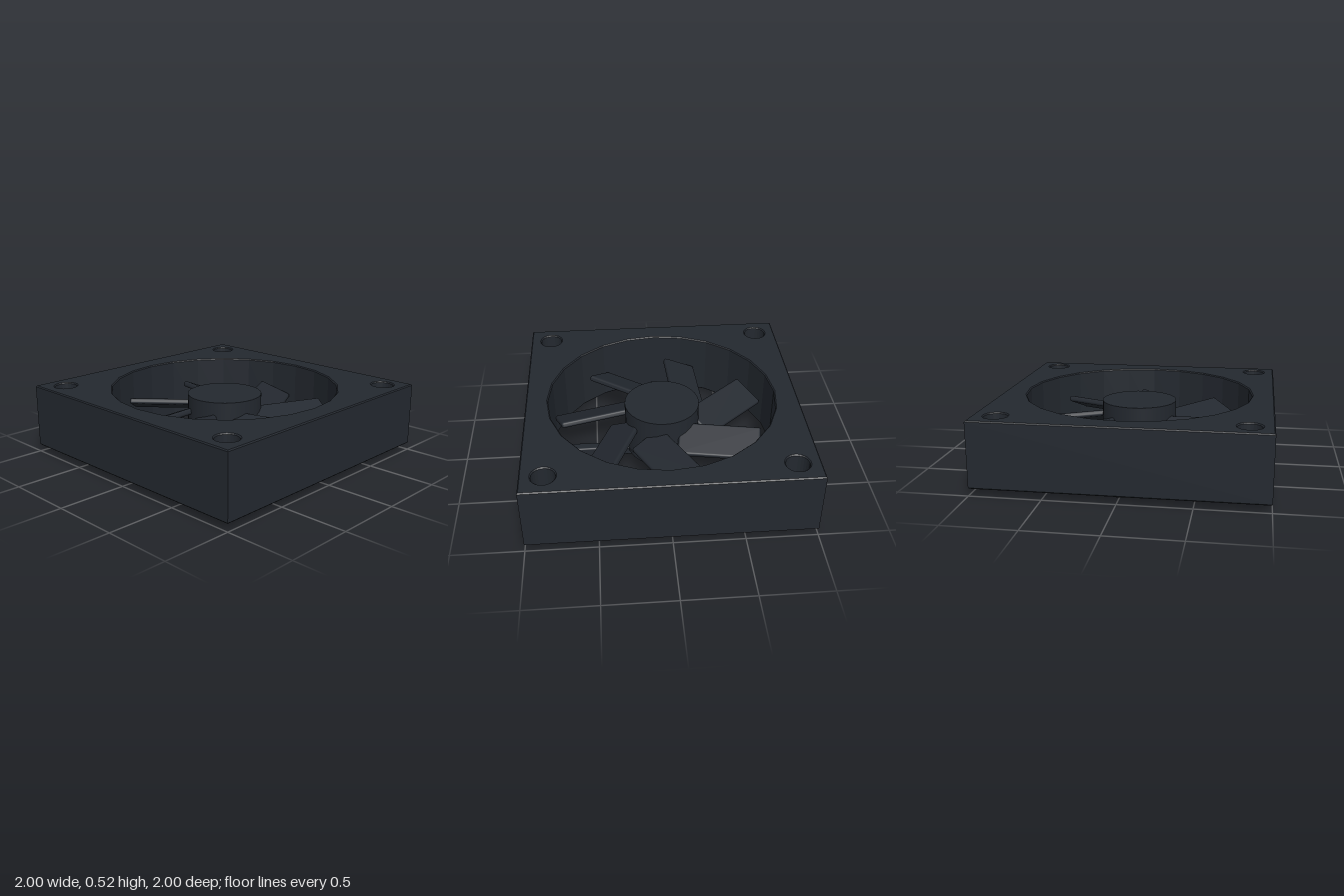
import * as THREE from 'three';
import { RoundedBoxGeometry } from 'three/addons/geometries/RoundedBoxGeometry.js';

export function createModel() {
  const root = new THREE.Group();
  root.name = 'coolingFan';
  const plastic = new THREE.MeshStandardMaterial({ color: 0x23282f });

  function add(name, geometry, parent = root) {
    const mesh = new THREE.Mesh(geometry, plastic);
    mesh.name = name;
    parent.add(mesh);
    return mesh;
  }
  const circle = (x, y, r) => new THREE.Path().absarc(x, y, r, 0, Math.PI * 2, true);

  // Square housing with the airflow opening and four screw holes
  const outline = new THREE.Shape([
    new THREE.Vector2(-1, -1), new THREE.Vector2(1, -1),
    new THREE.Vector2(1, 1), new THREE.Vector2(-1, 1),
  ]);
  outline.holes.push(circle(0, 0, 0.84));
  for (const sx of [-1, 1]) for (const sz of [-1, 1]) outline.holes.push(circle(sx * 0.84, sz * 0.84, 0.082));
  const bevel = 0.008;
  const housing = new THREE.ExtrudeGeometry(outline, {
    depth: 0.47 - 2 * bevel, curveSegments: 12,
    bevelThickness: bevel, bevelSize: bevel, bevelOffset: -bevel, bevelSegments: 1,
  });
  housing.rotateX(-Math.PI / 2);
  housing.translate(0, 0.05 + bevel, 0);
  add('housing', housing);

  // Crossed support struts underneath
  for (let i = 0; i < 2; i++) {
    const strut = add('supportStrut', new RoundedBoxGeometry(1.76, 0.075, 0.075, 2, 0.012));
    strut.position.y = 0.0375;
    strut.rotation.y = i * Math.PI / 2;
  }

  // Motor base and rotor hub
  add('motorBase', new THREE.CylinderGeometry(0.26, 0.26, 0.08, 32)).position.y = 0.1;
  const rotor = new THREE.Group();
  rotor.name = 'rotor';
  root.add(rotor);
  add('hub', new THREE.CylinderGeometry(0.277, 0.277, 0.34, 32), rotor).position.y = 0.29;

  // Seven pitched blades, each set off to one side of its radius
  const count = 7;
  for (let i = 0; i < count; i++) {
    const arm = new THREE.Group();
    arm.name = 'bladeArm';
    arm.rotation.y = -(74.6 * Math.PI / 180 + i * Math.PI * 2 / count);
    rotor.add(arm);
    const blade = add('blade', new RoundedBoxGeometry(0.6, 0.045, 0.265, 2, 0.018), arm);
    blade.position.set(0.445, 0.3, 0.228);
    blade.rotation.x = 0.4;
  }
  return root;
}
